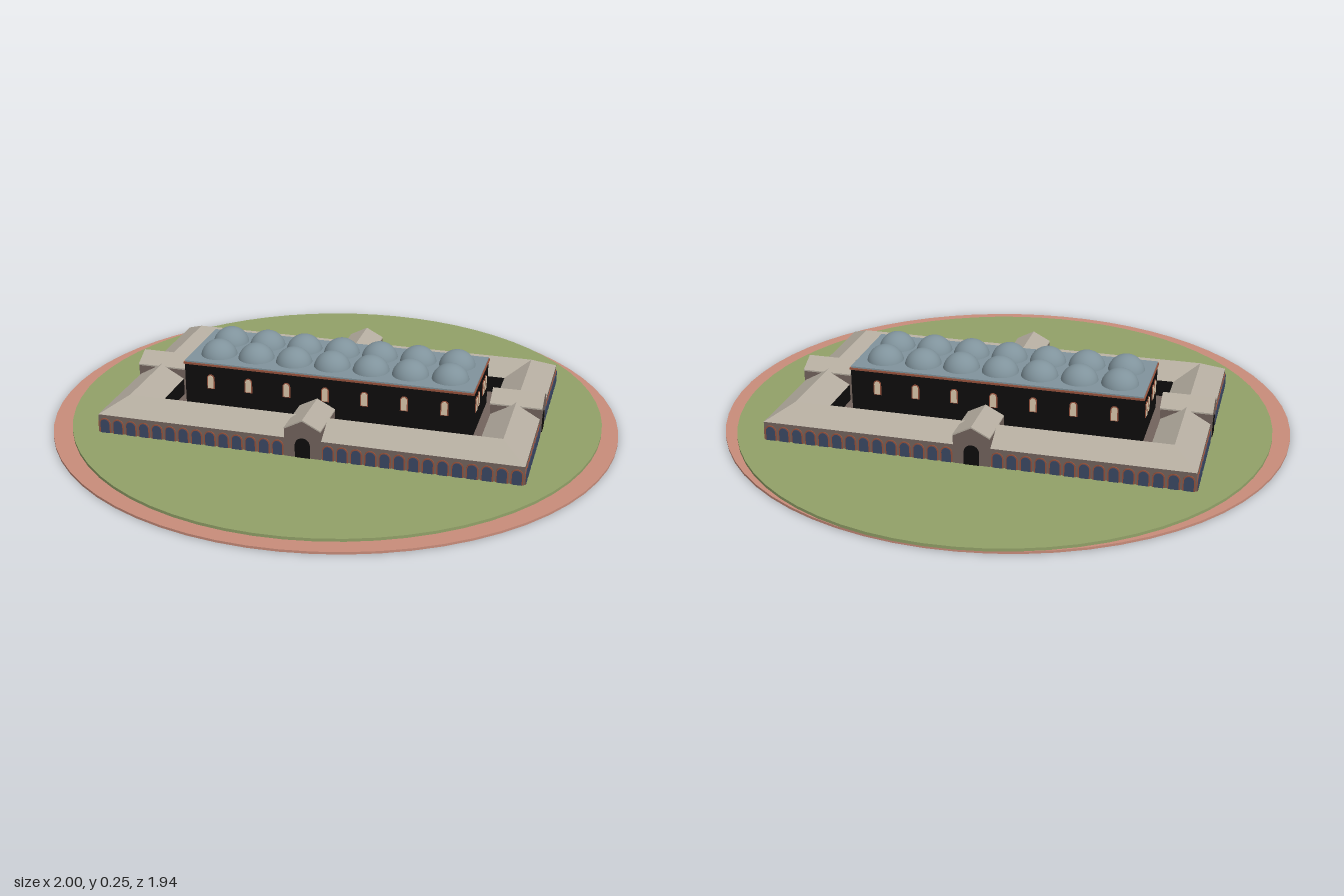
import * as THREE from 'three';

const mat = (name, color, side = THREE.FrontSide) => {
  const m = new THREE.MeshStandardMaterial({ color, side });
  m.name = name;
  return m;
};

export function createModel() {
  const model = new THREE.Group();
  const brick = mat('pink paving', 0xc88c7a);
  const grass = mat('grass green', 0x92a168);
  const stone = mat('roof stone', 0xb5ada0);
  const brown = mat('wall brown', 0x73645d);
  const black = mat('hall black', 0x0e0d0d);
  const slate = mat('dome blue grey', 0x80939c);
  const glass = mat('window blue', 0x3b4864);
  const terracotta = mat('terracotta', 0x96523c);
  const cream = mat('cream', 0xdcc8ac);

  const add = (parent, name, geometry, material, x = 0, y = 0, z = 0) => {
    const mesh = new THREE.Mesh(geometry, material);
    mesh.name = name;
    mesh.position.set(x, y, z);
    parent.add(mesh);
    return mesh;
  };
  const box = (parent, name, w, y0, y1, d, material) =>
    add(parent, name, new THREE.BoxGeometry(w, y1 - y0, d), material, 0, (y0 + y1) / 2, 0);

  // Four quads joining one rectangle [halfX, y, halfZ] to another
  const band = (a, b) => {
    const corner = ([x, y, z], i) => [i % 4 < 2 ? x : -x, y, i % 4 === 0 || i % 4 === 3 ? z : -z];
    const pos = [];
    for (let i = 0; i < 4; i++) {
      const [p, q, r, s] = [corner(a, i), corner(a, i + 1), corner(b, i + 1), corner(b, i)];
      pos.push(...p, ...q, ...r, ...p, ...r, ...s);
    }
    const g = new THREE.BufferGeometry();
    g.setAttribute('position', new THREE.Float32BufferAttribute(pos, 3));
    g.computeVertexNormals();
    return g;
  };

  // Thin round-headed plate standing on y = 0 and facing +z
  const arch = (w, h, depth) => {
    const s = new THREE.Shape();
    s.moveTo(-w / 2, 0);
    s.lineTo(w / 2, 0);
    s.lineTo(w / 2, h - w / 2);
    s.absarc(0, h - w / 2, w / 2, 0, Math.PI, false);
    s.lineTo(-w / 2, 0);
    return new THREE.ExtrudeGeometry(s, { depth, bevelEnabled: false, curveSegments: 6 });
  };

  const prism = (points, depth) => {
    const s = new THREE.Shape(points.map(([x, y]) => new THREE.Vector2(x, y)));
    return new THREE.ExtrudeGeometry(s, { depth, bevelEnabled: false });
  };

  // Grounds
  const disc = new THREE.CylinderGeometry(1, 1, 0.008, 64);
  add(model, 'pavedGround', disc, brick, 0, 0.004, 0).scale.z = 0.968;
  add(model, 'lawn', new THREE.CylinderGeometry(0.941, 0.941, 0.01, 64), grass, 0, 0.013, -0.03);

  const building = new THREE.Group();
  building.name = 'building';
  building.position.z = -0.0285;
  model.add(building);

  // Outer ring of wings with a hipped roof around the courtyard
  const floor = 0.017, eave = 0.083, ridge = 0.131;
  const HX = 0.735, HZ = 0.428, W = 0.085;
  const ring = (k, y) => [HX - k * W, y, HZ - k * W];
  add(building, 'wingOuterWalls', band(ring(0, floor), ring(0, eave)), brown);
  add(building, 'wingRoofOuter', band(ring(0, eave), ring(1, ridge)), stone);
  add(building, 'wingRoofInner', band(ring(1, ridge), ring(2, eave)), stone);
  add(building, 'wingInnerWalls', band(ring(2, eave), ring(2, floor)), black);
  box(building, 'courtyardFloor', 2 * (HX - 2 * W), floor, 0.022, 2 * (HZ - 2 * W), brown);

  // Sides of the ring: porch in the middle, arched windows either side
  const frameGeo = arch(0.041, 0.055, 0.003);
  const glassGeo = arch(0.032, 0.05, 0.005);
  const doorGeo = arch(0.052, 0.072, 0.004);
  const PW = 0.063, pe = 0.118, pp = 0.151, PD = 0.18;
  const bodyGeo = prism([[-PW, 0.017], [PW, 0.017], [PW, pe], [0, pp], [-PW, pe]], PD - 0.004);
  const roofGeo = prism([[-PW, pe], [0, pp], [PW, pe], [PW, pe + 0.005], [0, pp + 0.005], [-PW, pe + 0.005]], PD);

  const makeSide = (name, halfLength, distance, turn, count) => {
    const side = new THREE.Group();
    side.name = name;
    side.rotation.y = turn;
    building.add(side);
    const step = (halfLength - PW) / count;
    for (const sign of [-1, 1]) {
      for (let i = 0; i < count; i++) {
        const x = sign * (PW + (i + 0.5) * step);
        add(side, 'windowFrame', frameGeo, terracotta, x, floor, distance);
        add(side, 'windowGlass', glassGeo, glass, x, floor + 0.001, distance);
      }
    }
    const front = distance + 0.006;
    add(side, 'porchBody', bodyGeo, brown, 0, 0, front - PD + 0.002);
    add(side, 'porchRoof', roofGeo, stone, 0, 0, front - PD);
    add(side, 'porchDoor', doorGeo, black, 0, floor, front - 0.004);
    add(side, 'porchInnerDoor', doorGeo, black, 0, floor, front - PD);
  };
  makeSide('frontSide', HX, HZ, 0, 14);
  makeSide('backSide', HX, HZ, Math.PI, 14);
  makeSide('leftSide', HZ, HX, Math.PI / 2, 8);
  makeSide('rightSide', HZ, HX, -Math.PI / 2, 8);

  // Central hall
  const hx = 0.518, hz = 0.158;
  box(building, 'hallWalls', 2 * hx, floor, 0.188, 2 * hz, black);
  box(building, 'hallCornice', 2 * hx + 0.008, 0.188, 0.195, 2 * hz + 0.008, terracotta);
  box(building, 'hallRoof', 2 * hx, 0.195, 0.2, 2 * hz, slate);

  // Two rows of seven domes
  const R = 0.066, rise = 0.053;
  const domeGeo = new THREE.SphereGeometry(R, 32, 12, 0, Math.PI * 2, 0, Math.acos((R - rise) / R));
  const pitch = 0.1405;
  for (let i = -3; i <= 3; i++) {
    for (const z of [-0.064, 0.064]) add(building, 'dome', domeGeo, slate, i * pitch, 0.2 + rise - R, z);
  }

  // Hall windows
  const hallFrame = arch(0.028, 0.054, 0.003);
  const hallPane = arch(0.02, 0.048, 0.005);
  const hallSide = (name, turn, distance, offsets) => {
    const side = new THREE.Group();
    side.name = name;
    side.rotation.y = turn;
    building.add(side);
    for (const x of offsets) {
      add(side, 'hallWindowFrame', hallFrame, terracotta, x, 0.102, distance);
      add(side, 'hallWindowPane', hallPane, cream, x, 0.105, distance);
    }
  };
  const long = [-3, -2, -1, 0, 1, 2, 3].map((i) => i * pitch);
  const short = [-0.095, -0.05, 0.05, 0.095];
  hallSide('hallFrontWindows', 0, hz, long);
  hallSide('hallBackWindows', Math.PI, hz, long);
  hallSide('hallLeftWindows', Math.PI / 2, hx, short);
  hallSide('hallRightWindows', -Math.PI / 2, hx, short);

  return model;
}
